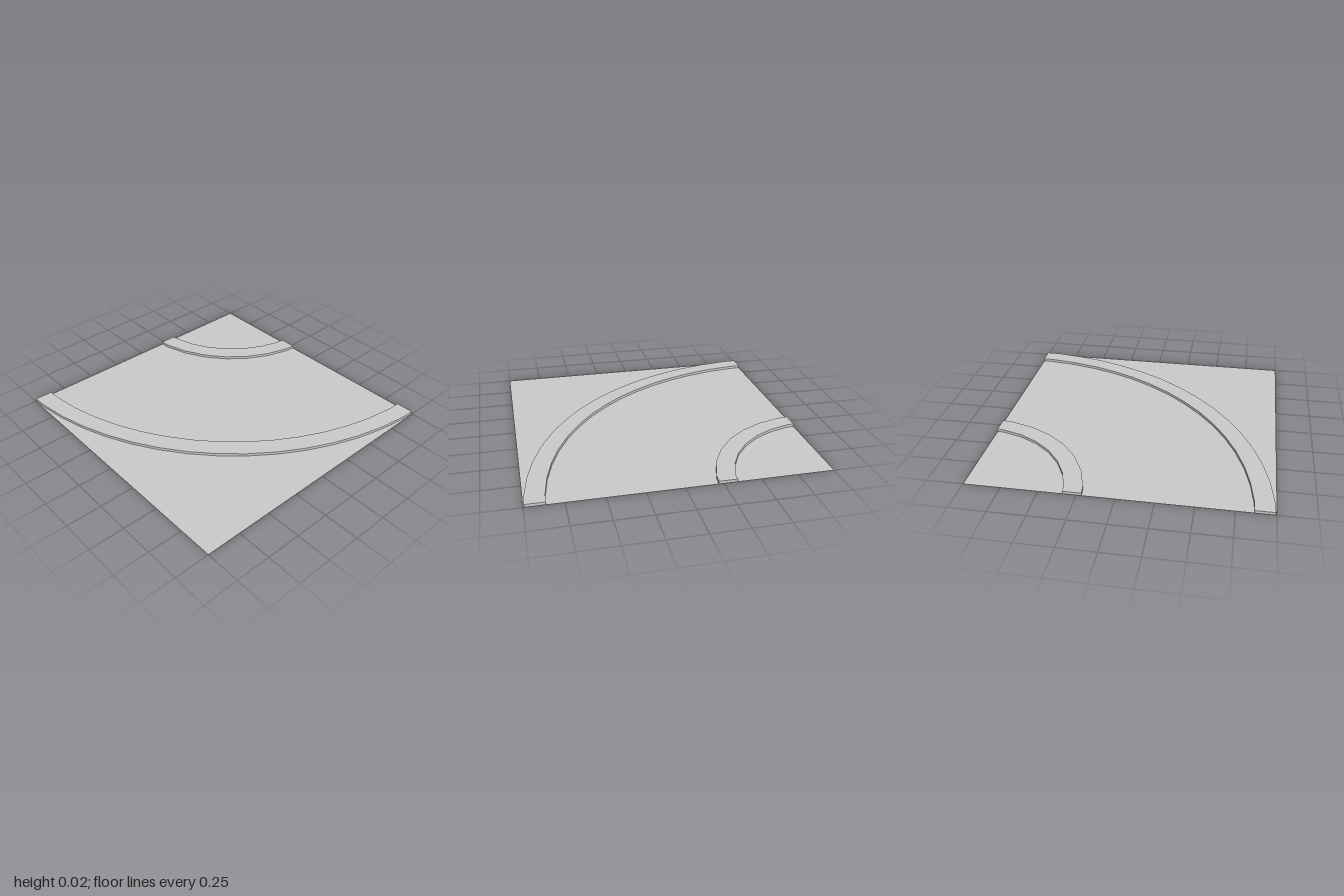
import * as THREE from 'three';

const CENTRE = -1.1; // arc centre lies just outside the tile's back right corner
const CURB_HEIGHT = 0.02;

// Quarter arc as straight chords, trimmed where it meets the tile edges x = -1 and z = -1.
function arcPoints(radius, steps) {
  const at = i => {
    const a = (i / steps) * Math.PI / 2;
    return new THREE.Vector2(CENTRE + radius * Math.sin(a), CENTRE + radius * Math.cos(a));
  };
  const points = [];
  for (let i = 0; i <= steps; i++) points.push(at(i));
  const first = points[0], second = points[1];
  first.lerp(second, (-1 - first.x) / (second.x - first.x));
  const last = points[steps], previous = points[steps - 1];
  last.lerp(previous, (-1 - last.y) / (previous.y - last.y));
  return points;
}

// Raised curved strip between two radii
function curb(name, inner, outer, steps, material) {
  const outline = [...arcPoints(outer, steps), ...arcPoints(inner, steps).reverse()];
  const shape = new THREE.Shape(outline.map(p => new THREE.Vector2(p.x, -p.y)));
  const geometry = new THREE.ExtrudeGeometry(shape, { depth: CURB_HEIGHT, bevelEnabled: false });
  geometry.rotateX(-Math.PI / 2);
  const mesh = new THREE.Mesh(geometry, material);
  mesh.name = name;
  return mesh;
}

export function createModel() {
  const group = new THREE.Group();
  group.name = 'roadCornerTile';
  const material = new THREE.MeshStandardMaterial({ color: 0xcccccc, flatShading: true });
  const sheetMaterial = material.clone();
  sheetMaterial.side = THREE.DoubleSide;

  // Flat road and pavement sheet
  const ground = new THREE.Mesh(new THREE.PlaneGeometry(2, 2).rotateX(-Math.PI / 2), sheetMaterial);
  ground.name = 'ground';
  group.add(ground);

  // Curbs on both sides of the bend
  group.add(curb('innerCurb', 0.77, 0.895, 8, material));
  group.add(curb('outerCurb', 1.97, 2.099, 16, material));
  return group;
}
